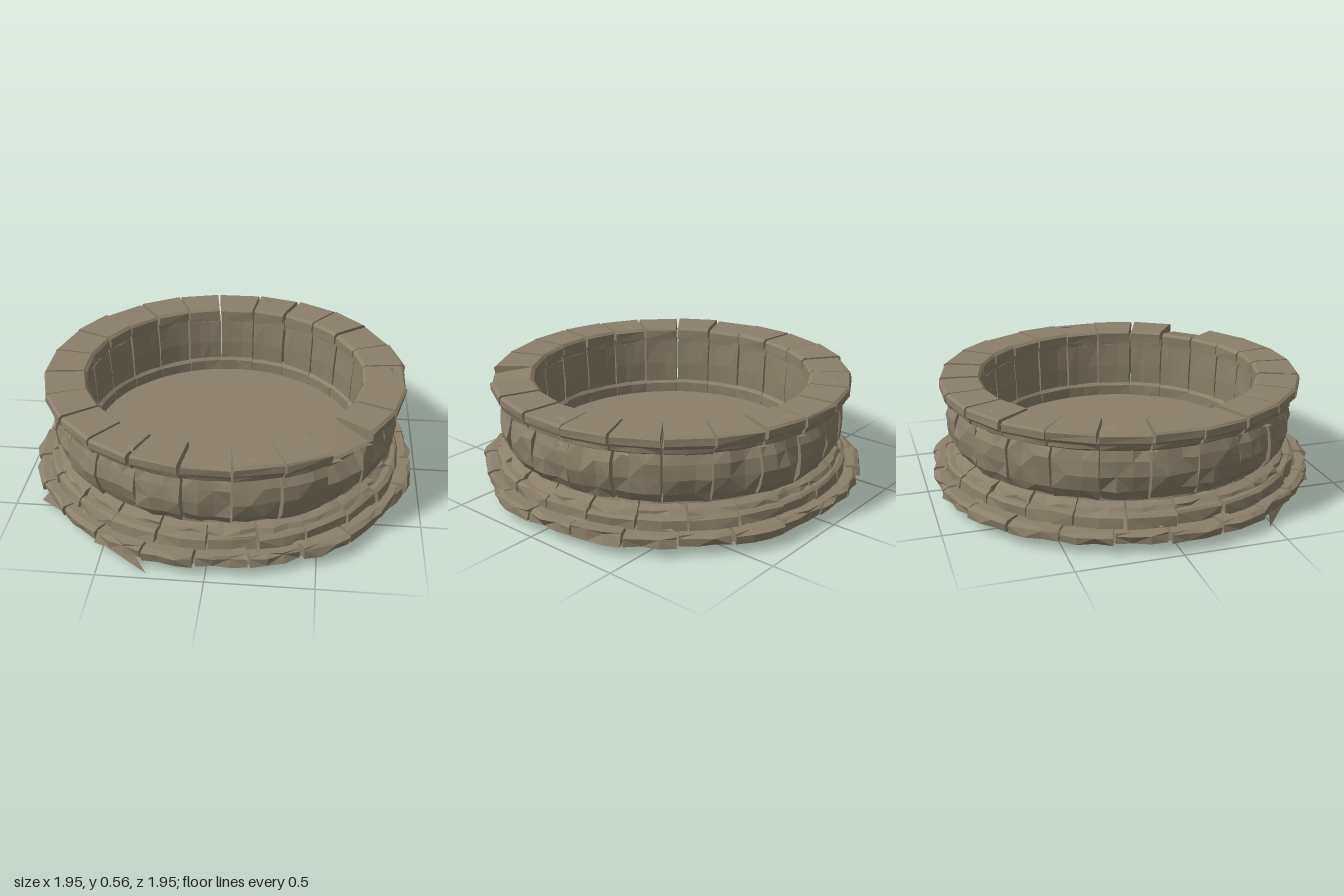
import * as THREE from 'three';

// Small seeded random generator, returns -1..1
function makeRandom(seed) {
  let s = seed;
  return () => {
    s = (s * 16807) % 2147483647;
    return (s / 2147483647) * 2 - 1;
  };
}

const polar = (r, y, a) => new THREE.Vector3(r * Math.sin(a), y, r * Math.cos(a));

// Sweeps a closed [radius, height] profile (outer bottom, outer top, inner top,
// inner bottom) from angle a0 to a1; shape(r, y, k, i) may move each point.
function arcBlock(profile, a0, a1, segments, shape) {
  const rows = [];
  for (let i = 0; i <= segments; i++) {
    const a = a0 + ((a1 - a0) * i) / segments;
    rows.push(profile.map(([r, y], k) => polar(...shape(r, y, k, i), a)));
  }
  const points = [];
  const n = profile.length;
  for (let i = 0; i < segments; i++) {
    for (let k = 0; k < n; k++) {
      const j = (k + 1) % n;
      const A = rows[i][k], B = rows[i + 1][k], C = rows[i + 1][j], D = rows[i][j];
      if ((i + k) % 2) points.push(A, B, C, A, C, D);
      else points.push(A, B, D, B, C, D);
    }
  }
  // End caps
  for (const [row, flip] of [[rows[0], false], [rows[segments], true]]) {
    const mid = row.reduce((m, p) => m.add(p), new THREE.Vector3()).divideScalar(n);
    for (let k = 0; k < n; k++) {
      const p = row[k], q = row[(k + 1) % n];
      points.push(mid, ...(flip ? [q, p] : [p, q]));
    }
  }
  const geometry = new THREE.BufferGeometry().setFromPoints(points);
  geometry.computeVertexNormals();
  return geometry;
}

export function createModel() {
  const group = new THREE.Group();
  group.name = 'stoneBasin';
  const stone = new THREE.MeshStandardMaterial({ color: 0x8a7f6a, flatShading: true, side: THREE.DoubleSide });
  stone.name = 'weathered stone';
  const random = makeRandom(4711);

  const add = (name, geometry, parent = group) => {
    const mesh = new THREE.Mesh(geometry, stone);
    mesh.name = name;
    parent.add(mesh);
    return mesh;
  };

  // Ring of separate stones; the first one is centred on the front
  function course({ name, profile, count = 24, segments = 2, gap = 0.01, rough = 0.006, vary = 0.01, lift = 0.003, offset = 0, edit }) {
    const ring = new THREE.Group();
    ring.name = name;
    const step = (Math.PI * 2) / count;
    const outer = Math.max(...profile.map((p) => p[0])) - 0.05;
    for (let b = 0; b < count; b++) {
      const a = (b + offset) * step;
      const push = random() * vary;
      const rise = random() * lift;
      const geometry = arcBlock(profile,
        a - step / 2 + (gap / 2) * (1 + 0.7 * random()),
        a + step / 2 - (gap / 2) * (1 + 0.7 * random()),
        segments,
        (r, y, k, i) => {
          if (r > outer) r += push + random() * rough;
          else r += random() * 0.003;
          if (y > profile[0][1] + 0.01) y += rise;
          return edit ? edit(r, y, k, i, b) : [r, y];
        });
      add(name + 'Stone', geometry, ring);
    }
    group.add(ring);
  }

  // Solid foot and flat floor inside the basin
  const core = new THREE.CylinderGeometry(0.71, 0.71, 0.124, 48);
  add('floor', core).position.y = 0.118;
  const bottom = add('underside', new THREE.CylinderGeometry(0.94, 0.94, 0.006, 24));
  bottom.position.y = 0.058;

  // Broken base slabs
  course({
    name: 'base', segments: 3, gap: 0.012, rough: 0.014, vary: 0.018, lift: 0.005, offset: 0.3,
    profile: [[0.965, 0.055], [0.965, 0.095], [0.95, 0.108], [0.68, 0.11], [0.68, 0.055]],
    edit: (r, y) => [Math.min(r, 0.995), y],
  });

  // Second step
  course({
    name: 'step', gap: 0.012, rough: 0.008, vary: 0.008, offset: 0.5,
    profile: [[0.905, 0.105], [0.9, 0.155], [0.885, 0.166], [0.68, 0.168], [0.68, 0.105]],
  });

  // Sloping moulding under the wall
  course({
    name: 'moulding', segments: 3, rough: 0.012, vary: 0.012, offset: 0.5,
    profile: [[0.865, 0.164], [0.85, 0.185], [0.815, 0.2], [0.81, 0.218], [0.705, 0.222], [0.705, 0.164]],
  });

  // Low ledge where the inner wall meets the floor
  course({
    name: 'ledge', gap: 0.003, rough: 0.002, vary: 0.002,
    profile: [[0.74, 0.17], [0.74, 0.25], [0.7, 0.25], [0.685, 0.235], [0.685, 0.17]],
  });

  // Bulging wall stones
  course({
    name: 'wall', segments: 3, gap: 0.012, rough: 0.012, vary: 0.008, lift: 0.002,
    profile: [[0.83, 0.215], [0.86, 0.265], [0.874, 0.34], [0.865, 0.41], [0.84, 0.475], [0.71, 0.475], [0.7, 0.35], [0.7, 0.22]],
    edit: (r, y, k, i, b) => [b === 3 && k === 3 ? r - 0.045 : r, y],
  });

  // Cornice under the rim
  course({
    name: 'cornice', gap: 0.01, rough: 0.006, vary: 0.004,
    profile: [[0.85, 0.455], [0.885, 0.475], [0.89, 0.505], [0.712, 0.508], [0.712, 0.46]],
    edit: (r, y, k, i, b) => [b === 3 && k < 3 ? r - 0.04 : r, y],
  });

  // Flat rim stones, one of them chipped on its outer edge
  course({
    name: 'rim', segments: 1, gap: 0.016, rough: 0.004, vary: 0.005, lift: 0.004,
    profile: [[0.9, 0.5], [0.91, 0.515], [0.91, 0.548], [0.9, 0.558], [0.715, 0.558], [0.7, 0.545], [0.7, 0.5]],
    edit: (r, y, k, i, b) => [r, b === 3 && (k === 2 || k === 3) ? y - 0.035 : y],
  });

  // Pointed splinters hanging from the base
  const splinters = [
    [[-0.62, 0.057, 0.74], [-0.27, 0.005, 0.965], [-0.34, 0.075, 0.9]],
    [[-0.7, 0.06, 0.64], [-0.875, 0.015, 0.47], [-0.82, 0.085, 0.48]],
  ];
  for (const corners of splinters) {
    const g = new THREE.BufferGeometry().setFromPoints(corners.map((c) => new THREE.Vector3(...c)));
    g.computeVertexNormals();
    add('baseSplinter', g);
  }

  // Small loose flakes along the moulding, wall and rim
  const flakeRows = [[0.85, 0.195, 22], [0.87, 0.45, 12], [0.88, 0.553, 10], [0.925, 0.112, 14]];
  for (const [radius, height, count] of flakeRows) {
    for (let i = 0; i < count; i++) {
      const a = ((i + 0.4 * random()) / count) * Math.PI * 2;
      const w = 0.05 + 0.02 * random();
      const g = new THREE.BufferGeometry().setFromPoints([
        polar(radius - 0.03, height, a - w),
        polar(radius + 0.01 * random(), height + 0.012 * random(), a + w),
        polar(radius - 0.05, height + 0.012, a + w * 0.3),
      ]);
      g.computeVertexNormals();
      add('flake', g);
    }
  }
  return group;
}
